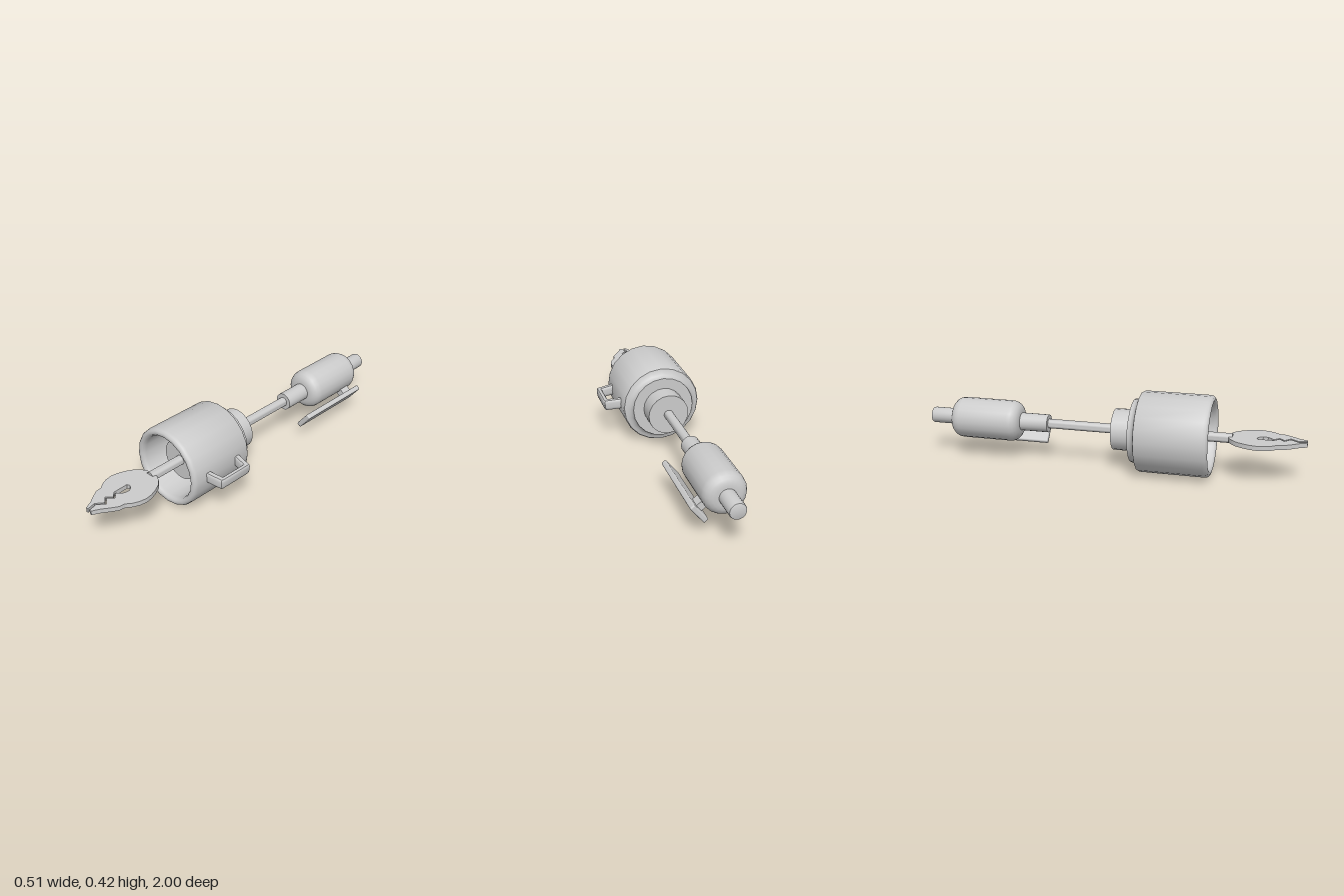
import * as THREE from 'three';
import { toCreasedNormals } from 'three/addons/utils/BufferGeometryUtils.js';
import { RoundedBoxGeometry } from 'three/addons/geometries/RoundedBoxGeometry.js';

const grey = new THREE.MeshStandardMaterial({ color: 0xcccccc });
const SIDES = 20;

export function createModel() {
  const model = new THREE.Group();
  // everything is laid out around one long axis along z
  const axis = new THREE.Group();
  axis.name = 'assembly';
  axis.position.set(-0.047, 0.21, 0);
  model.add(axis);

  const add = (name, geometry) => {
    const mesh = new THREE.Mesh(geometry, grey);
    mesh.name = name;
    axis.add(mesh);
    return mesh;
  };
  // turned part: profile of [radius, z], outside listed from back to front
  const turned = (name, profile) => {
    const g = new THREE.LatheGeometry(profile.map(([r, z]) => new THREE.Vector2(r, z)), SIDES);
    g.rotateX(Math.PI / 2);
    return add(name, toCreasedNormals(g, 0.7));
  };
  const rod = (name, r, z0, z1) => turned(name, [[0, z0], [r, z0], [r, z1], [0, z1]]);

  // hollow cup, open to the front, with a stepped base
  turned('cup', [
    [0, 0.12], [0.165, 0.12], [0.167, 0.135], [0.175, 0.147], [0.19, 0.156], [0.205, 0.16], [0.21, 0.168],
    [0.21, 0.505], [0.207, 0.519], [0.2, 0.528], [0.19, 0.531], [0.18, 0.528], [0.173, 0.519], [0.17, 0.505],
    [0.17, 0.17], [0, 0.17],
  ]);
  rod('core', 0.108, 0.02, 0.43);
  rod('shaft', 0.025, -0.36, 0.63);

  // rear grip with rounded shoulders
  rod('sleeve', 0.047, -0.5, -0.34);
  const grip = [[0, -0.87]];
  for (const [z, start] of [[-0.815, -Math.PI / 2], [-0.545, 0]]) {
    for (let i = 0; i <= 5; i++) {
      const a = start + (i / 5) * Math.PI / 2;
      grip.push([0.053 + 0.055 * Math.cos(a), z + 0.055 * Math.sin(a)]);
    }
  }
  grip.push([0, -0.49]);
  turned('grip', grip);
  turned('endCap', [[0, -1], [0.034, -1], [0.04, -0.997], [0.042, -0.99], [0.042, -0.86], [0, -0.86]]);

  // lever plate beside the grip, held by a small bracket
  const lever = new THREE.Group();
  lever.name = 'lever';
  lever.rotation.z = -0.68;
  axis.add(lever);
  const plate = new THREE.Mesh(new RoundedBoxGeometry(0.028, 0.112, 0.45, 2, 0.008), grey);
  plate.name = 'leverPlate';
  plate.position.set(0.149, 0, -0.603);
  const bracket = new THREE.Mesh(new THREE.BoxGeometry(0.06, 0.04, 0.06), grey);
  bracket.name = 'leverBracket';
  bracket.position.set(0.115, 0, -0.76);
  lever.add(plate, bracket);

  // cup handle: a trapezoid loop with softened edges
  const loop = new THREE.Shape([
    [0.195, 0.225], [0.288, 0.242], [0.291, 0.25], [0.291, 0.42], [0.288, 0.428], [0.195, 0.447],
    [0.195, 0.425], [0.276, 0.409], [0.276, 0.261], [0.195, 0.247],
  ].map(([x, z]) => new THREE.Vector2(x, z)));
  const loopGeo = new THREE.ExtrudeGeometry(loop, {
    depth: 0.024, bevelThickness: 0.015, bevelSize: 0.006, bevelSegments: 2,
  });
  loopGeo.translate(0, 0, -0.012);
  loopGeo.rotateX(Math.PI / 2);
  const handle = add('handle', toCreasedNormals(loopGeo, 0.7));
  handle.rotation.z = -0.1;
  handle.position.y = 0.021;

  // flat clip at the front: rounded head, split by a toothed gap
  const side = [
    [0.035, 0.614], [0.062, 0.628], [0.088, 0.652], [0.11, 0.69], [0.125, 0.73], [0.13, 0.765], [0.124, 0.8],
    [0.11, 0.832], [0.088, 0.86], [0.085, 0.89], [0.06, 0.93], [0.04, 0.957], [0.018, 1],
  ];
  const teeth = [[0, 0.999], [-0.01, 0.955], [0.02, 0.917], [-0.014, 0.888], [0.014, 0.862], [-0.012, 0.836]];
  const gap = 0.006;
  const outline = [
    [0, 0.61], ...side,
    ...teeth.map(([x, z]) => [x + gap, z]),
    [0.004, 0.825], [0.022, 0.805], [0.024, 0.78], [0.012, 0.76], [-0.006, 0.751], [-0.02, 0.757],
    ...teeth.slice().reverse().map(([x, z]) => [x - gap, z]),
    ...side.slice().reverse().map(([x, z]) => [-x, z]),
  ];
  const clipGeo = new THREE.ExtrudeGeometry(
    new THREE.Shape(outline.map(([x, z]) => new THREE.Vector2(x, z))), { depth: 0.023, bevelEnabled: false });
  clipGeo.rotateX(Math.PI / 2);
  const clip = add('clip', toCreasedNormals(clipGeo, 0.5));
  clip.position.y = 0.0125;

  return model;
}
